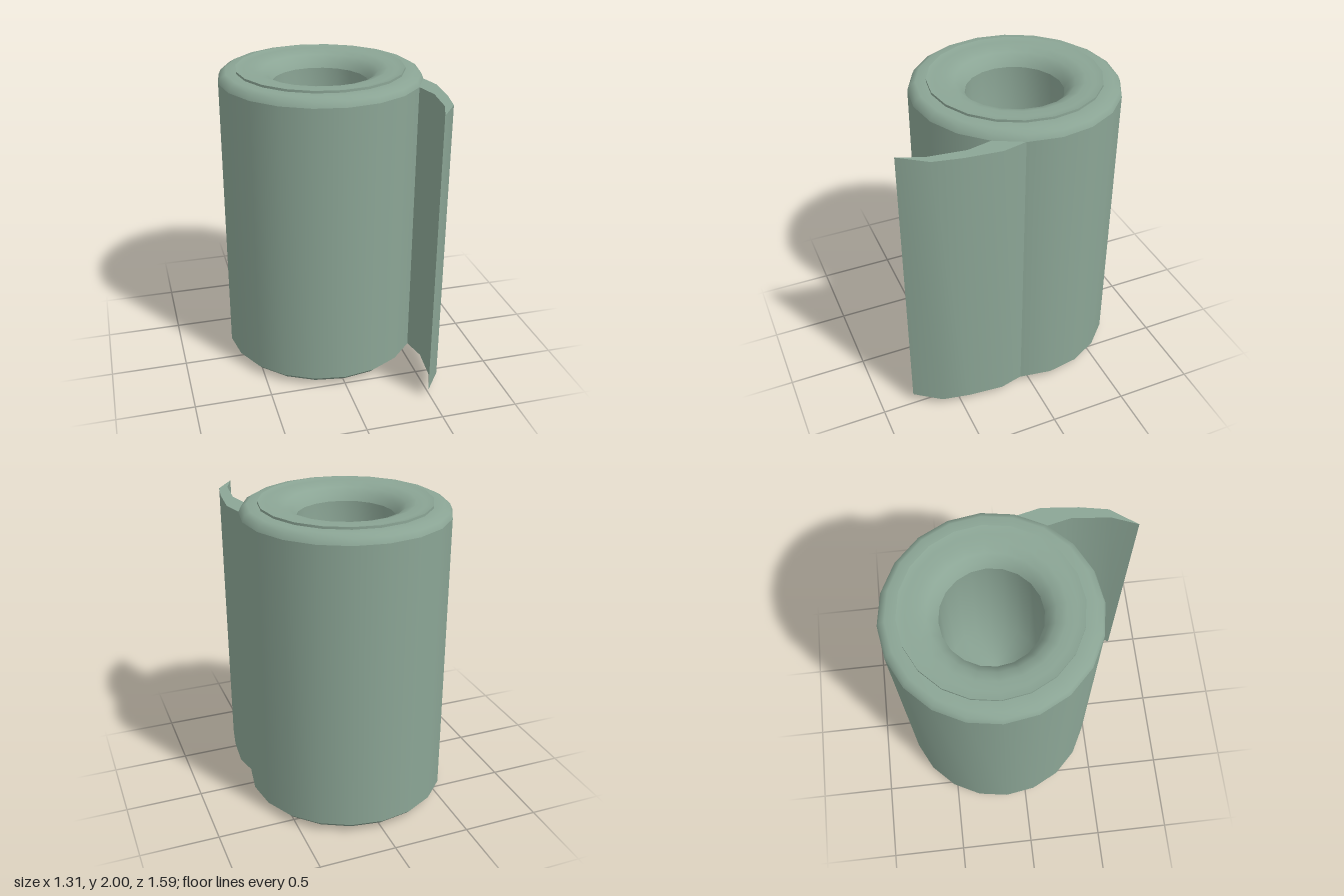
import * as THREE from 'three';
import { toCreasedNormals } from 'three/addons/utils/BufferGeometryUtils.js';

const SIDES = 20;
const ROLL_Z = -0.14;

export function createModel() {
  const group = new THREE.Group();
  const paper = new THREE.MeshStandardMaterial({ color: 0x8ba595 });

  const add = (name, geometry) => {
    const mesh = new THREE.Mesh(geometry, paper);
    mesh.name = name;
    group.add(mesh);
    return mesh;
  };

  // Turned part around the roll axis, from [radius, height] pairs
  const turn = (name, profile) => {
    const points = profile.map(([r, y]) => new THREE.Vector2(r, y));
    add(name, new THREE.LatheGeometry(points, SIDES)).position.z = ROLL_Z;
  };

  // Wound outside with softened rims
  turn('rollBottom', [
    [0.307, 0.09], [0.33, 0.035], [0.38, 0.005], [0.45, 0], [0.62, 0.025], [0.655, 0.06],
  ]);
  turn('rollSide', [[0.655, 0.06], [0.655, 1.93]]);
  turn('rollTopRim', [[0.655, 1.93], [0.64, 1.965], [0.605, 1.985], [0.54, 1.985]]);

  // Slightly raised inner windings, curving down into the hole
  turn('raisedTopStep', [[0.54, 1.985], [0.54, 2]]);
  turn('raisedTop', [[0.54, 2], [0.49, 1.99], [0.43, 1.995], [0.37, 1.975], [0.33, 1.94], [0.307, 1.9]]);

  // Hollow core, closed halfway
  turn('coreTop', [[0.307, 1.9], [0.307, 1.01], [0, 1.01]]);
  turn('coreBottom', [[0, 0.99], [0.307, 0.99], [0.307, 0.09]]);

  // Loose end peeling off the roll: outline in x, z
  const outline = [
    [0.5, 0.06], [0.617, 0.06], [0.655, 0.22], [0.634, 0.45], [0.6, 0.625],
    [0.48, 0.79], [0.542, 0.635], [0.567, 0.4], [0.53, 0.24],
  ];
  const shape = new THREE.Shape(outline.map(([x, z]) => new THREE.Vector2(x, -z)));
  const flap = new THREE.ExtrudeGeometry(shape, { depth: 1.87, bevelEnabled: false });
  flap.rotateX(-Math.PI / 2);
  flap.translate(0, 0.06, 0);
  add('looseEnd', toCreasedNormals(flap, 0.8));

  return group;
}
